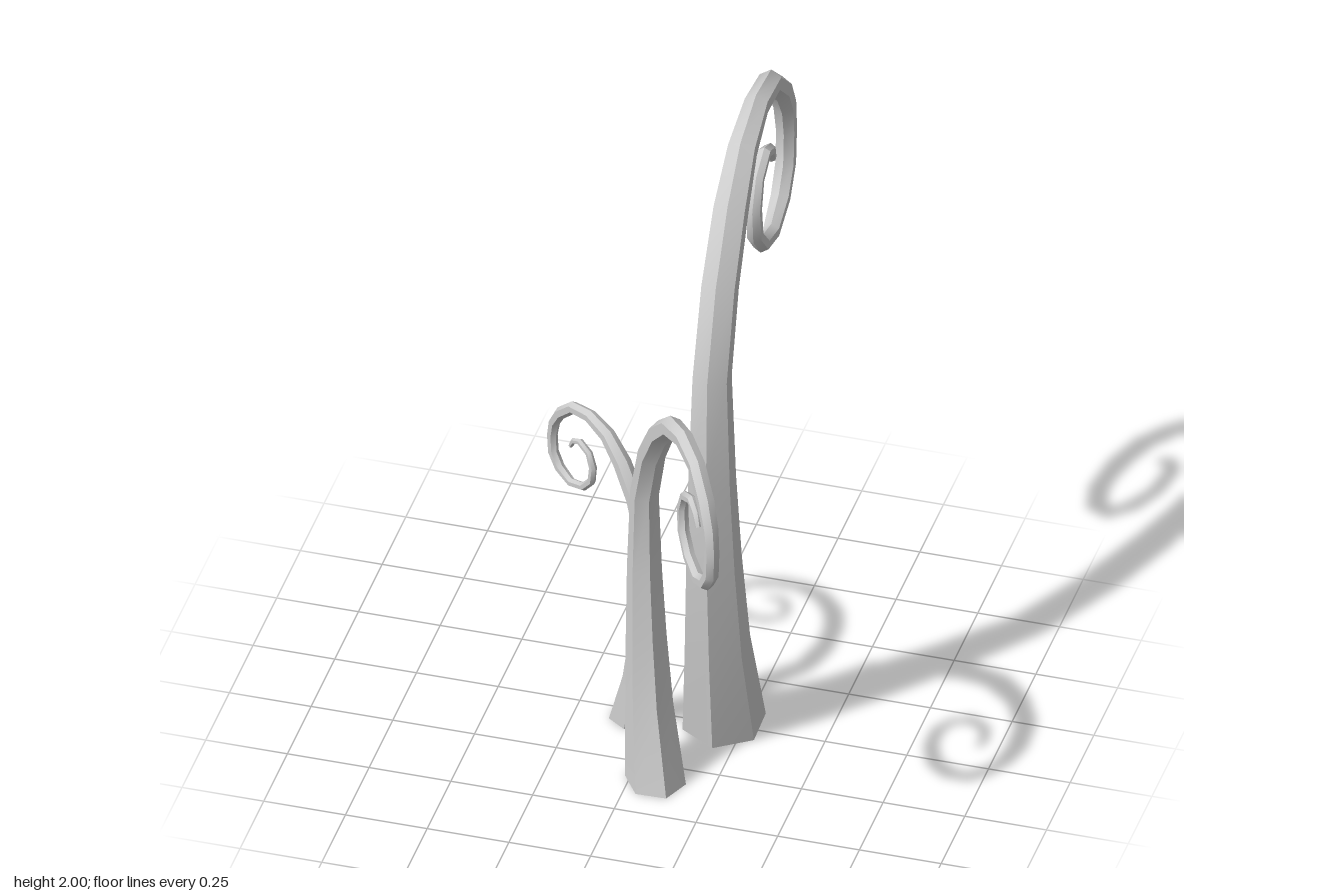
import * as THREE from 'three';
import { toCreasedNormals } from 'three/addons/utils/BufferGeometryUtils.js';

// Curl spine in its own plane: [forward, height, radius]
const SPINE = [
  [0, 0, 0.125], [-0.08, 0.34, 0.1], [-0.12, 0.66, 0.085], [-0.142, 0.97, 0.073],
  [-0.142, 1.34, 0.06], [-0.048, 1.6, 0.058], [0.08, 1.79, 0.055], [0.215, 1.912, 0.047],
  [0.379, 1.96, 0.04], [0.538, 1.935, 0.038], [0.656, 1.83, 0.038], [0.715, 1.733, 0.035],
  [0.735, 1.63, 0.032], [0.725, 1.515, 0.032], [0.664, 1.433, 0.031], [0.557, 1.385, 0.027],
  [0.441, 1.418, 0.026], [0.367, 1.498, 0.025], [0.354, 1.6, 0.024], [0.39, 1.685, 0.022],
  [0.475, 1.722, 0.021], [0.535, 1.695, 0.019], [0.563, 1.645, 0.014],
];
const SIDES = 6;

// Hexagonal tapering tube swept along the spine, curling towards +x, capped at both ends
function tentacleGeometry() {
  const positions = [];
  const index = [];
  const last = SPINE.length - 1;

  SPINE.forEach(([u, y, r], i) => {
    const a = SPINE[Math.max(i - 1, 0)];
    const b = SPINE[Math.min(i + 1, last)];
    const tangent = new THREE.Vector2(b[0] - a[0], b[1] - a[1]).normalize();
    // The foot is cut level with the ground, which stretches it a little
    const nu = i === 0 ? 1.12 : tangent.y;
    const ny = i === 0 ? 0 : -tangent.x;
    for (let j = 0; j < SIDES; j++) {
      const t = (j / SIDES) * Math.PI * 2;
      const c = Math.cos(t) * r;
      positions.push(u + nu * c, y + ny * c, -Math.sin(t) * r);
    }
  });

  for (let i = 0; i < last; i++) {
    for (let j = 0; j < SIDES; j++) {
      const k = (j + 1) % SIDES;
      const p = i * SIDES, q = p + SIDES;
      index.push(p + j, p + k, q + k, p + j, q + k, q + j);
    }
  }
  // Foot and tip caps
  const tip = last * SIDES;
  for (let j = 1; j < SIDES - 1; j++) {
    index.push(0, j + 1, j, tip, tip + j, tip + j + 1);
  }

  const geometry = new THREE.BufferGeometry();
  geometry.setAttribute('position', new THREE.Float32BufferAttribute(positions, 3));
  geometry.setIndex(index);
  return toCreasedNormals(geometry, 0.7);
}

export function createModel() {
  const group = new THREE.Group();
  group.name = 'curledTentacles';
  const geometry = tentacleGeometry();
  const material = new THREE.MeshStandardMaterial({ color: 0xcccccc });

  // Same curl at three sizes; dir is the horizontal heading of the curl
  const tentacles = [
    { name: 'largeTentacle', base: [0.187, -0.015], dir: [-0.03, -1], size: 1 },
    { name: 'mediumTentacle', base: [0.075, 0.325], dir: [0.565, 0.825], size: 0.72 },
    { name: 'smallTentacle', base: [-0.083, 0.04], dir: [-0.82, -0.575], size: 0.5 },
  ];
  for (const { name, base, dir, size } of tentacles) {
    const mesh = new THREE.Mesh(geometry, material);
    mesh.name = name;
    mesh.position.set(base[0], 0, base[1]);
    mesh.rotation.y = Math.atan2(-dir[1], dir[0]);
    mesh.scale.setScalar(size);
    group.add(mesh);
  }
  return group;
}
